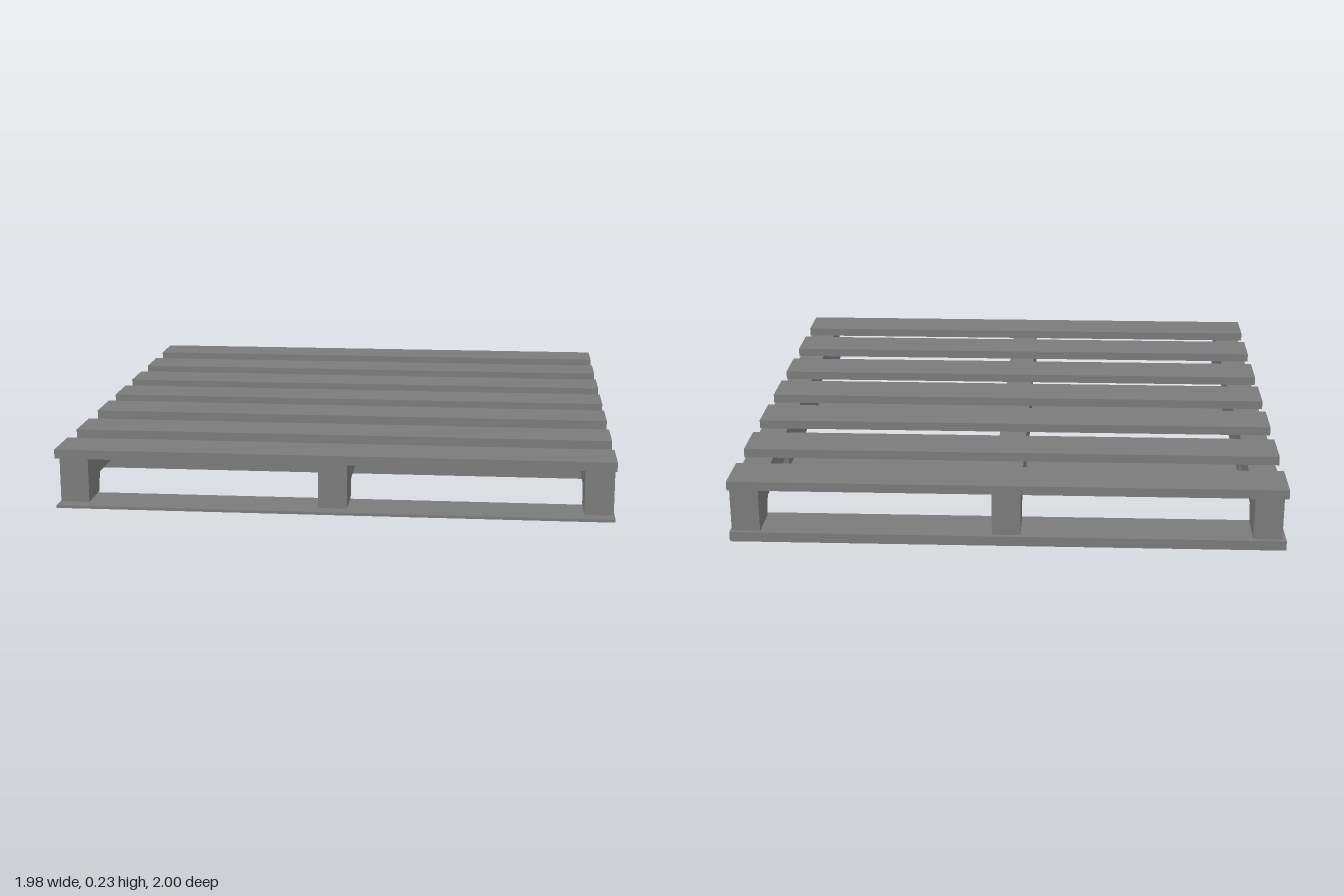
import * as THREE from 'three';

export function createModel() {
  const group = new THREE.Group();
  const material = new THREE.MeshStandardMaterial({ color: 0x7b7b7b, flatShading: true });
  const add = (name, geometry, x, y, z) => {
    const mesh = new THREE.Mesh(geometry, material);
    mesh.name = name;
    mesh.position.set(x, y, z);
    group.add(mesh);
  };
  const length = 1.976, depth = 0.178, deckY = 0.197, baseY = 0.036;

  // Seven deck boards
  const deckBoard = new THREE.BoxGeometry(length, 0.033, depth);
  for (const z of [-0.911, -0.597, -0.293, 0.002, 0.295, 0.608, 0.911]) {
    add('deckBoard', deckBoard, 0, deckY + 0.0165, z);
  }

  // Three stringers, each with two fork notches in the lower edge
  const half = [[0.39, baseY], [0.397, 0.08], [0.408, 0.105], [0.82, 0.105],
    [0.831, 0.08], [0.843, baseY], [0.985, baseY], [0.985, deckY]];
  const mirrored = half.map(([z, y]) => [-z, y]).reverse();
  const profile = new THREE.Shape([...half, ...mirrored].map(([z, y]) => new THREE.Vector2(z, y)));
  const stringer = new THREE.ExtrudeGeometry(profile, { depth: 0.102, bevelEnabled: false });
  stringer.translate(0, 0, -0.051);
  stringer.rotateY(-Math.PI / 2);
  for (const x of [-0.923, 0.001, 0.931]) add('stringer', stringer, x, 0, 0);

  // Bottom boards
  const baseBoard = new THREE.BoxGeometry(length, baseY, depth);
  for (const z of [-0.911, -0.295, 0.295]) add('baseBoard', baseBoard, 0, baseY / 2, z);

  // Thin strip below the front edge
  add('frontBaseStrip', new THREE.BoxGeometry(length, 0.01, depth), 0, 0.02, 0.911);

  return group;
}
